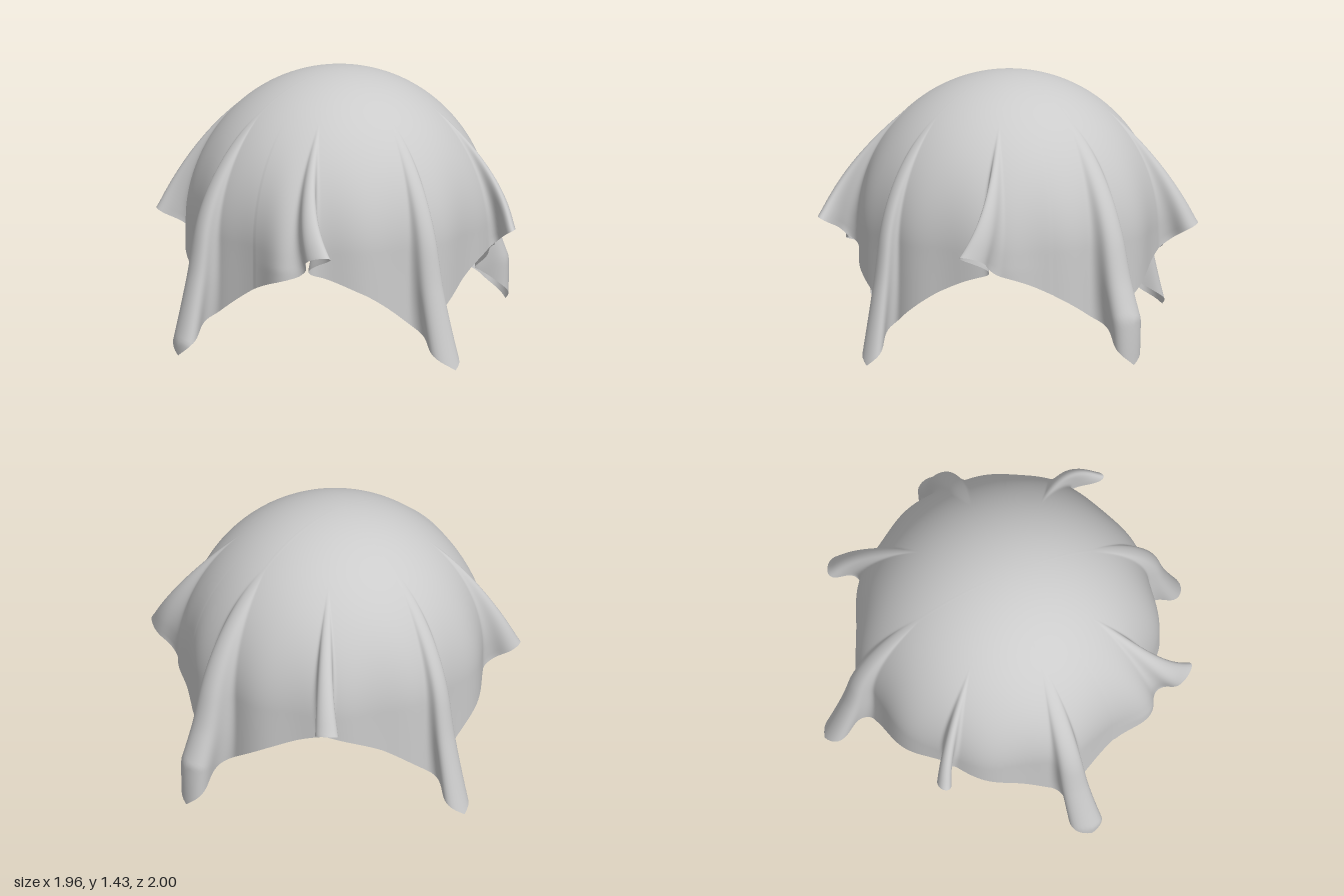
import * as THREE from 'three';
import { mergeVertices } from 'three/addons/utils/BufferGeometryUtils.js';

const R = 0.8;            // radius of the ball shape the cloth rests on
const CENTRE_Y = 0.63;
const HALF = 1.33;        // half side of the square cloth
const RINGS = 90, SPOKES = 640, SECTOR = Math.PI / 4;

// Eight folds, from +x round towards +z: even ones mid-edge, odd ones at corners.
// At the hem: depth out from the ball, sideways sway, lift of the tip,
// widening of the rounded end, and flare of the cloth on the side it leans away from
const FOLDS = [
  { depth: 0.19, sway: 0.15, lift: 0.085, widen: 0.2, flare: 0.03 },
  { depth: 0.23, sway: -0.07, lift: -0.006, widen: 0.75, flare: 0 },
  { depth: 0.21, sway: -0.14, lift: 0.1, widen: 0.3, flare: 0.075 },
  { depth: 0.27, sway: -0.06, lift: 0.025, widen: 0.8, flare: 0 },
  { depth: 0.18, sway: -0.04, lift: 0.075, widen: 0.1, flare: 0 },
  { depth: 0.24, sway: 0, lift: 0.02, widen: 0.7, flare: 0 },
  { depth: 0.2, sway: -0.03, lift: 0.075, widen: 0.6, flare: 0 },
  { depth: 0.34, sway: 0, lift: 0.05, widen: 0.55, flare: 0 },
];

// Walk along half a fold's cross-section from its ridge (unit length):
// the direction swings inwards by the bend angle and back again
function walk(to, bend) {
  const steps = 32, h = to / steps;
  let across = 0, inward = 0;
  for (let i = 0; i < steps; i++) {
    const phi = bend * Math.sin(Math.PI * (i + 0.5) * h);
    across += Math.cos(phi) * h;
    inward += Math.sin(phi) * h;
  }
  return { across, inward };
}

// Position of the cloth point at distance s from the middle, in direction theta
function drape(s, theta) {
  const k = Math.round(theta / SECTOR), delta = theta - k * SECTOR;
  const { depth, sway, lift, widen, flare } = FOLDS[k % 8], corner = k % 2 === 1;
  const { clamp, smoothstep } = THREE.MathUtils;

  // Resting surface: over the ball, then straight down
  const quarter = R * Math.PI / 2;
  const rho = s < quarter ? R * Math.sin(s / R) : R;
  const y = s < quarter ? CENTRE_Y + R * Math.cos(s / R) : CENTRE_Y - (s - quarter);
  if (s < 1e-6) return [0, y, 0];

  // Each fold grows deeper and more pinched towards the hem
  const t = clamp((s - 0.52) / (corner ? 1.36 : 0.81), 0.02, 1);
  const bend = (corner ? 2.15 : 2.05) * Math.pow(t, 0.8);
  const whole = walk(1, bend);
  const arc = rho * SECTOR / 2;
  const width = Math.min(depth * Math.pow(t, corner ? 1.6 : 2) / whole.inward, arc);
  const length = arc + width * (1 - whole.across);
  const sigma = Math.abs(delta) / (SECTOR / 2) * length;

  let across = sigma - width * (1 - whole.across), out = 0;
  if (sigma < width) {
    const part = walk(sigma / width, bend);
    out = width * (whole.inward - part.inward);
    across = width * part.across * (1 + widen * out / (width * whole.inward));
  }

  // Sideways lean, flare beside the fold, slight ripple and sag between the folds
  const q = out / depth;
  const tangent = Math.sign(delta) * across + sway * Math.pow(q, 1.5);
  const angle = k * SECTOR + tangent / (rho + out);
  const beside = (tangent + 0.1 * Math.sign(sway)) / 0.12;
  const bulge = flare * t * t * Math.exp(-beside * beside);
  const ripple = 0.012 * smoothstep(s, 0.7, 1.4) * Math.sin(11 * angle + 1) * (1 - q);
  const sag = 0.05 * smoothstep(s, 1.25, 1.45) * (1 - q);
  const r = rho + out + bulge + ripple;
  return [r * Math.cos(angle), y + lift * q - sag, r * Math.sin(angle)];
}

export function createModel() {
  const positions = [], indices = [];
  for (let i = 0; i <= RINGS; i++) {
    for (let j = 0; j < SPOKES; j++) {
      const theta = j / SPOKES * Math.PI * 2;
      const edge = HALF / Math.max(Math.abs(Math.cos(theta)), Math.abs(Math.sin(theta)));
      positions.push(...drape(edge * i / RINGS, theta));
      if (i === RINGS) continue;
      const a = i * SPOKES + j, b = i * SPOKES + (j + 1) % SPOKES;
      const c = a + SPOKES, d = b + SPOKES;
      if (i > 0) indices.push(a, b, c);
      indices.push(b, d, c);
    }
  }
  let geometry = new THREE.BufferGeometry();
  geometry.setAttribute('position', new THREE.Float32BufferAttribute(positions, 3));
  geometry.setIndex(indices);
  geometry = mergeVertices(geometry, 1e-5);
  geometry.computeVertexNormals();

  const cloth = new THREE.Mesh(geometry, new THREE.MeshStandardMaterial({ color: 0xcccccc, side: THREE.DoubleSide }));
  cloth.name = 'drapedCloth';
  const group = new THREE.Group();
  group.name = 'cloth';
  group.add(cloth);
  return group;
}
